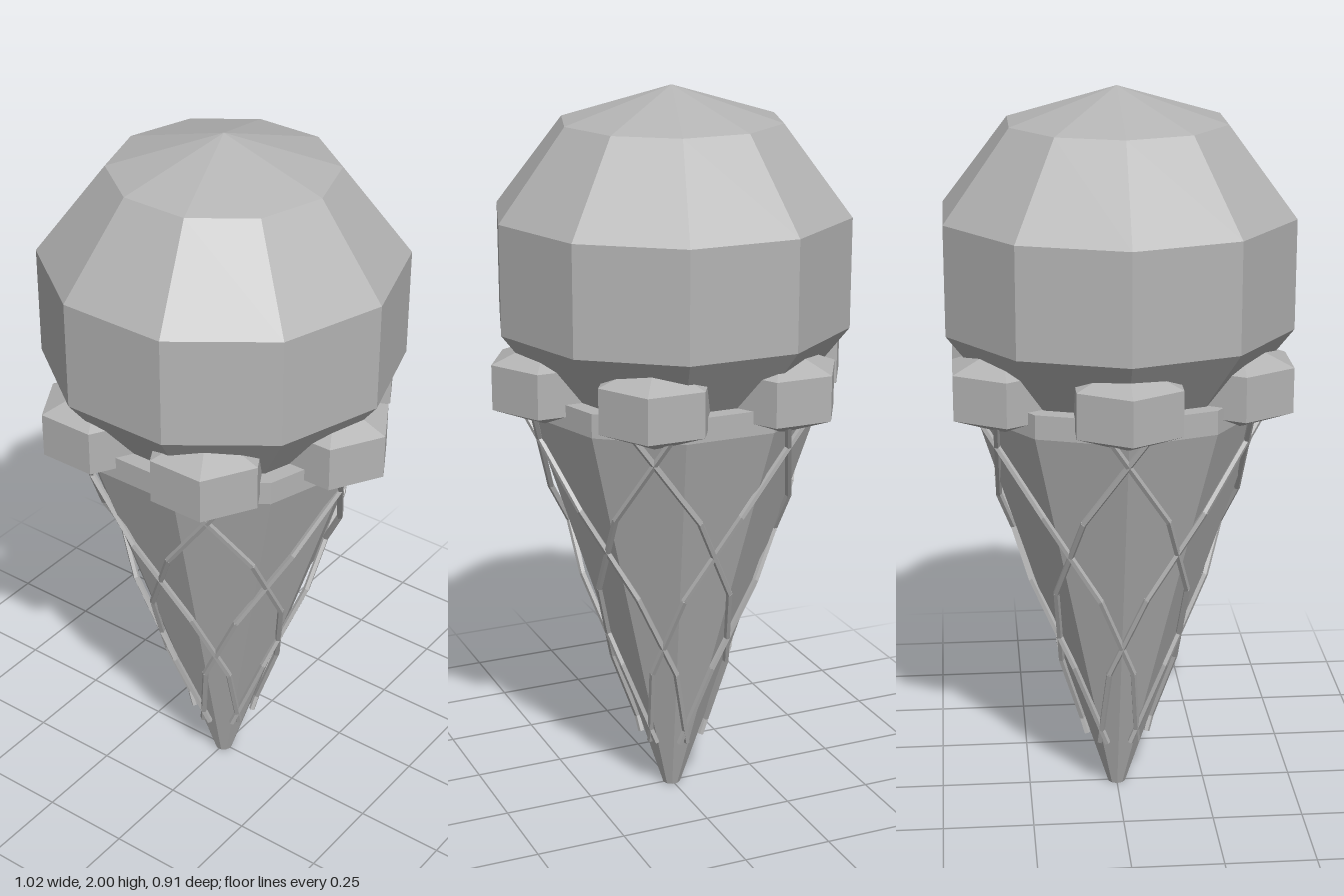
import * as THREE from 'three';

export function createModel() {
  const group = new THREE.Group();
  group.name = 'iceCreamCone';
  const grey = new THREE.MeshStandardMaterial({ color: 0xb4b4b4, flatShading: true });
  grey.name = 'plain grey';

  const add = (geometry, name, parent = group) => {
    const mesh = new THREE.Mesh(geometry, grey);
    mesh.name = name;
    parent.add(mesh);
    return mesh;
  };

  // Ten-sided wafer cone with a short upright rim
  const profile = [[0, 0], [0.025, 0], [0.4, 1.15], [0.4, 1.215], [0.3, 1.215]]
    .map(([r, y]) => new THREE.Vector2(r, y));
  add(new THREE.LatheGeometry(profile, 10, Math.PI / 2), 'waferCone');

  // Faceted scoop, slightly flattened
  const scoop = add(new THREE.SphereGeometry(0.505, 10, 5), 'scoop');
  scoop.scale.y = 0.94;
  scoop.position.y = 1.525;

  // Six drips around the rim
  const drips = new THREE.Group();
  drips.name = 'drips';
  group.add(drips);
  for (let i = 0; i < 6; i++) {
    const a = (i * Math.PI) / 3;
    const drip = add(new THREE.SphereGeometry(0.18, 6, 3), 'drip', drips);
    drip.scale.y = 0.675;
    drip.position.set(0.354 * Math.cos(a), 1.243, 0.354 * Math.sin(a));
  }

  // Crossing wafer strands: six spirals in each direction
  const lattice = new THREE.Group();
  lattice.name = 'waferLattice';
  group.add(lattice);
  const up = new THREE.Vector3(0, 1, 0);
  const strandPoint = (start, dir, y) => {
    const r = 0.034 + 0.326 * y;
    const a = start + (dir * (1.1 - y) * (Math.PI / 6)) / 0.29;
    return new THREE.Vector3(r * Math.cos(a), y, r * Math.sin(a));
  };
  for (const dir of [-1, 1]) {
    for (let i = 0; i < 6; i++) {
      for (let s = 0; s < 4; s++) {
        const p = strandPoint((i * Math.PI) / 3, dir, 0.16 + s * 0.25);
        const q = strandPoint((i * Math.PI) / 3, dir, 0.41 + s * 0.25);
        const along = q.clone().sub(p);
        const strand = add(new THREE.CylinderGeometry(0.009, 0.009, along.length() + 0.004, 5), 'strand', lattice);
        strand.position.copy(p).add(q).multiplyScalar(0.5);
        strand.quaternion.setFromUnitVectors(up, along.normalize());
      }
    }
  }

  return group;
}
